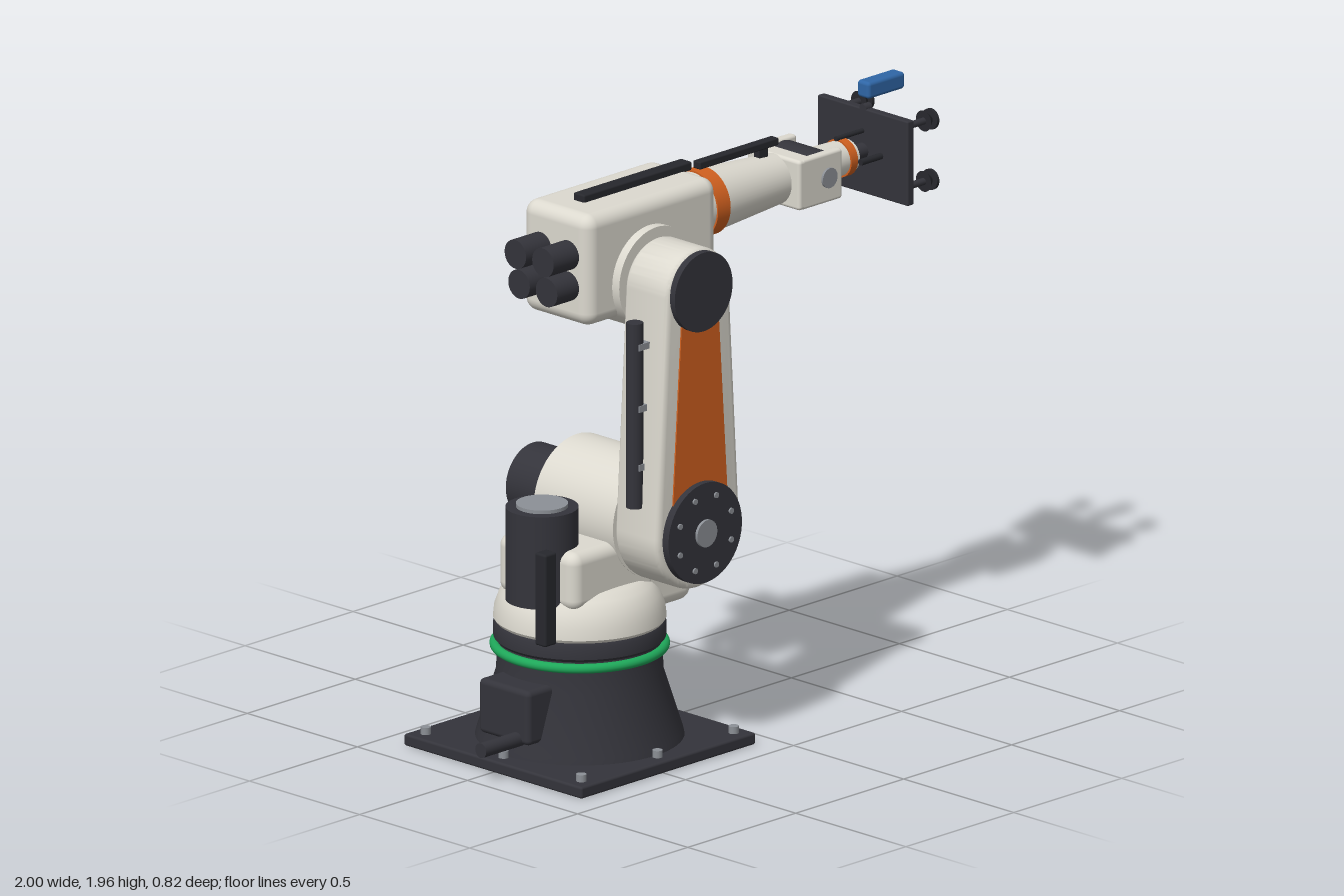
import * as THREE from 'three';
import { toCreasedNormals } from 'three/addons/utils/BufferGeometryUtils.js';
import { RoundedBoxGeometry } from 'three/addons/geometries/RoundedBoxGeometry.js';

const paint = (name, color) => Object.assign(new THREE.MeshStandardMaterial({ color }), { name });

export function createModel() {
  const model = new THREE.Group();
  model.name = 'industrialRobotArm';

  const shell = paint('warmWhiteShell', 0xdcd9cf);
  const dark = paint('charcoal', 0x34343b);
  const black = paint('blackTrim', 0x27282d);
  const orange = paint('orange', 0xd0601f);
  const grey = paint('steelGrey', 0x8c9096);
  const green = paint('greenRing', 0x1fa85a);
  const blue = paint('blueSensor', 0x2f66a6);

  const add = (name, geo, mat, x = 0, y = 0, z = 0) => {
    const mesh = new THREE.Mesh(geo, mat);
    mesh.name = name;
    mesh.position.set(x, y, z);
    model.add(mesh);
    return mesh;
  };
  // Box given by its min and max corners; rounded when r > 0
  const box = (name, mat, [x0, y0, z0], [x1, y1, z1], r = 0) => {
    const s = [x1 - x0, y1 - y0, z1 - z0];
    const geo = r ? new RoundedBoxGeometry(...s, 4, r) : new THREE.BoxGeometry(...s);
    return add(name, geo, mat, (x0 + x1) / 2, (y0 + y1) / 2, (z0 + z1) / 2);
  };
  // Cylinders along each axis, from a to b
  const cylY = (name, mat, r, x, z, a, b, seg = 40) =>
    add(name, new THREE.CylinderGeometry(r, r, b - a, seg), mat, x, (a + b) / 2, z);
  const cylZ = (name, mat, r, x, y, a, b, seg = 48) =>
    add(name, new THREE.CylinderGeometry(r, r, b - a, seg).rotateX(Math.PI / 2), mat, x, y, (a + b) / 2);
  const cylX = (name, mat, ra, rb, y, z, a, b, seg = 40) =>
    add(name, new THREE.CylinderGeometry(ra, rb, b - a, seg).rotateZ(Math.PI / 2), mat, (a + b) / 2, y, z);
  const lathe = (name, mat, pts, x) =>
    add(name, toCreasedNormals(new THREE.LatheGeometry(pts.map(p => new THREE.Vector2(...p)), 64), 0.6), mat, x);

  const BX = -0.48;                 // base axis
  const JX = -0.31, SY = 0.775, EY = 1.595; // shoulder and elbow joints
  const WY = 1.722;                 // forearm axis height

  // Base plate, bolts and pedestal
  box('basePlate', dark, [BX - 0.404, 0, -0.404], [BX + 0.404, 0.04, 0.404], 0.008);
  for (const i of [-1, 0, 1]) for (const j of [-1, 0, 1])
    if (i || j) cylY('baseBolt', grey, 0.017, BX + i * 0.353, j * 0.353, 0.038, 0.064, 12);
  lathe('pedestal', dark, [[0, 0.04], [0.34, 0.04], [0.335, 0.06], [0.272, 0.26], [0.267, 0.375], [0, 0.375]], BX);
  add('statusRing', new THREE.TorusGeometry(0.277, 0.016, 16, 72).rotateX(Math.PI / 2), green, BX, 0.35);
  lathe('slewCollar', dark, [[0, 0.37], [0.272, 0.37], [0.281, 0.38], [0.281, 0.425], [0.275, 0.435], [0, 0.435]], BX);
  box('connectorBox', dark, [-0.835, 0.1, -0.115], [-0.68, 0.285, 0.115], 0.018);
  cylX('powerCable', dark, 0.025, 0.025, 0.115, 0.06, -1, -0.82, 20);

  // Rotating turret
  lathe('turret', shell, [[0, 0.43], [0.272, 0.43], [0.282, 0.445], [0.278, 0.48], [0.262, 0.525],
    [0.235, 0.56], [0.2, 0.578], [0.16, 0.583], [0, 0.583]], BX);
  box('turretRearBlock', shell, [-0.688, 0.53, -0.18], [-0.3, 0.73, 0.178], 0.04);
  box('turretFrontBlock', shell, [-0.5, 0.455, -0.18], [-0.125, 0.685, 0.176], 0.045);
  box('turretPanel', orange, [-0.127, 0.54, -0.108], [-0.12, 0.655, 0.108]);
  cylY('slewMotor', dark, 0.119, -0.655, 0, 0.54, 0.855);
  cylY('slewMotorCap', grey, 0.085, -0.655, 0, 0.85, 0.867);
  box('turretCableBox', black, [-0.777, 0.43, 0.085], [-0.722, 0.745, 0.135], 0.008);

  // Shoulder joint and motor
  cylZ('shoulderHousing', shell, 0.2, JX, SY + 0.005, -0.18, 0.18, 64);
  cylZ('shoulderMotor', dark, 0.125, JX, SY + 0.005, -0.38, -0.17);
  cylZ('shoulderMotorCap', grey, 0.108, JX, SY + 0.005, -0.39, -0.375);
  for (let i = 0; i < 6; i++) {
    const a = i * Math.PI / 3;
    cylZ('motorBolt', dark, 0.008, JX + 0.09 * Math.cos(a), SY + 0.005 + 0.09 * Math.sin(a), -0.394, -0.388, 8);
  }

  // Upper arm: tapered capsule with softened edges
  const bevel = 0.022, R = 0.195, r = 0.148;
  const tilt = Math.asin((R - r) / (EY - SY));
  const armShape = new THREE.Shape();
  armShape.absarc(JX, SY, R - bevel, Math.PI - tilt, 2 * Math.PI + tilt, false);
  armShape.absarc(JX, EY - 0.007, r - bevel, tilt, Math.PI - tilt, false);
  armShape.closePath();
  const armGeo = new THREE.ExtrudeGeometry(armShape, {
    depth: 0.198 - 2 * bevel, bevelEnabled: true, bevelSize: bevel, bevelThickness: bevel, bevelSegments: 4, curveSegments: 32,
  });
  add('upperArm', toCreasedNormals(armGeo, 0.6), shell, 0, 0, 0.178 + bevel);

  // Orange inlays on both faces of the upper arm
  const inlay = new THREE.Shape();
  inlay.moveTo(JX - 0.126, 0.88);
  inlay.quadraticCurveTo(JX - 0.105, 1.2, JX - 0.086, 1.49);
  inlay.lineTo(JX + 0.086, 1.49);
  inlay.quadraticCurveTo(JX + 0.105, 1.2, JX + 0.126, 0.88);
  inlay.closePath();
  for (const z of [0.374, 0.173])
    add('upperArmInlay', new THREE.ExtrudeGeometry(inlay, { depth: 0.007, bevelEnabled: false }), orange, 0, 0, z);

  // Joint covers on the arm's outer face
  cylZ('shoulderCover', dark, 0.17, JX, SY, 0.37, 0.403, 64);
  cylZ('shoulderHub', grey, 0.046, JX, SY, 0.4, 0.413, 32);
  for (let i = 0; i < 8; i++) {
    const a = (i + 0.5) * Math.PI / 4;
    cylZ('coverBolt', grey, 0.01, JX + 0.128 * Math.cos(a), SY + 0.128 * Math.sin(a), 0.4, 0.409, 10);
  }
  cylZ('elbowCover', dark, 0.134, JX, EY, 0.37, 0.396, 64);

  // Conduit running up the arm, with clips
  cylY('armConduit', dark, 0.028, -0.506, 0.275, 0.88, 1.51, 20);
  for (const y of [1.02, 1.22, 1.43])
    box('conduitClip', grey, [-0.515, y - 0.011, 0.245], [-0.42, y + 0.011, 0.305]);

  // Elbow housing with its cross joint and motor
  box('elbowHousing', shell, [-0.595, 1.476, -0.155], [0.012, 1.855, 0.15], 0.045);
  cylZ('elbowJoint', shell, 0.173, JX, EY, -0.17, 0.182, 64);
  cylZ('elbowMotorFlange', dark, 0.133, JX, EY, -0.192, -0.165);
  cylZ('elbowMotor', dark, 0.085, JX, EY, -0.285, -0.18);
  for (let i = 0; i < 8; i++) {
    const a = i * Math.PI / 4;
    cylZ('flangeBolt', grey, 0.009, JX + 0.11 * Math.cos(a), EY + 0.11 * Math.sin(a), -0.198, -0.19, 8);
  }
  box('elbowPanel', orange, [0.008, 1.53, -0.085], [0.016, 1.66, 0.085]);
  box('elbowTopStrip', black, [-0.485, 1.85, -0.025], [0.015, 1.88, 0.025], 0.006);
  for (const z of [-0.065, 0.06]) {
    cylX('rearConnectorUpper', dark, 0.049, 0.049, 1.712, z, -0.712, -0.58, 28);
    cylX('rearConnectorLower', dark, 0.049, 0.049, 1.606, z, -0.695, -0.58, 28);
  }

  // Forearm
  cylX('forearmCollar', shell, 0.108, 0.108, WY, 0, 0, 0.05, 48);
  cylX('forearmRing', orange, 0.114, 0.114, WY, 0, 0.045, 0.103, 48);
  cylX('forearmTube', shell, 0.107, 0.084, WY, 0, 0.1, 0.43, 48);
  box('forearmTopStrip', black, [0.06, 1.838, -0.017], [0.425, 1.864, 0.017], 0.005);
  box('stripBracket', black, [0.34, 1.8, -0.012], [0.38, 1.845, 0.012]);

  // Wrist fork, knuckle and pivots
  box('wristForkBack', shell, [0.415, 1.637, -0.12], [0.485, 1.807, 0.12], 0.012);
  for (const s of [-1, 1]) {
    const side = box('wristForkTine', shell, [0.43, 1.637, -0.017], [0.615, 1.807, 0.017], 0.01);
    side.position.z = s * 0.103;
    cylZ('wristPivot', grey, 0.034, 0.55, WY, s * 0.119 - 0.009, s * 0.119 + 0.009, 28);
  }
  cylZ('wristKnuckle', dark, 0.08, 0.55, WY, -0.086, 0.086, 40);

  // Tool rotation stage
  cylX('wristTube', shell, 0.062, 0.058, WY, 0, 0.6, 0.718);
  cylX('wristRing', orange, 0.064, 0.064, WY, 0, 0.714, 0.744);
  cylX('wristEnd', shell, 0.055, 0.055, WY, 0, 0.742, 0.762);
  cylX('toolShaft', dark, 0.026, 0.026, WY, 0, 0.758, 0.835, 24);
  cylX('toolAirLine', black, 0.011, 0.011, WY, 0.083, 0.735, 0.835, 12);
  cylX('wristSensorPin', black, 0.008, 0.008, 1.79, 0, 0.705, 0.835, 12);

  // Gripper plate with four suction cups
  box('gripperPlate', dark, [0.83, 1.577, -0.205], [0.86, 1.865, 0.205], 0.005);
  cylX('plateHub', dark, 0.03, 0.03, WY, 0, 0.855, 0.868, 24);
  for (const y of [1.619, 1.825]) for (const z of [-0.147, 0.147]) {
    cylX('cupStem', dark, 0.012, 0.012, y, z, 0.85, 0.975, 14);
    cylX('suctionCup', black, 0.014, 0.035, y, z, 0.962, 0.99, 28).rotation.y = Math.PI;
    cylX('cupLip', black, 0.035, 0.035, y, z, 0.989, 1, 28);
  }
  cylX('plateKnob', dark, 0.015, 0.015, 1.865, 0, 0.83, 0.86, 16);
  box('sensorHead', blue, [0.83, 1.9, -0.028], [1, 1.957, 0.028], 0.012);

  return model;
}
